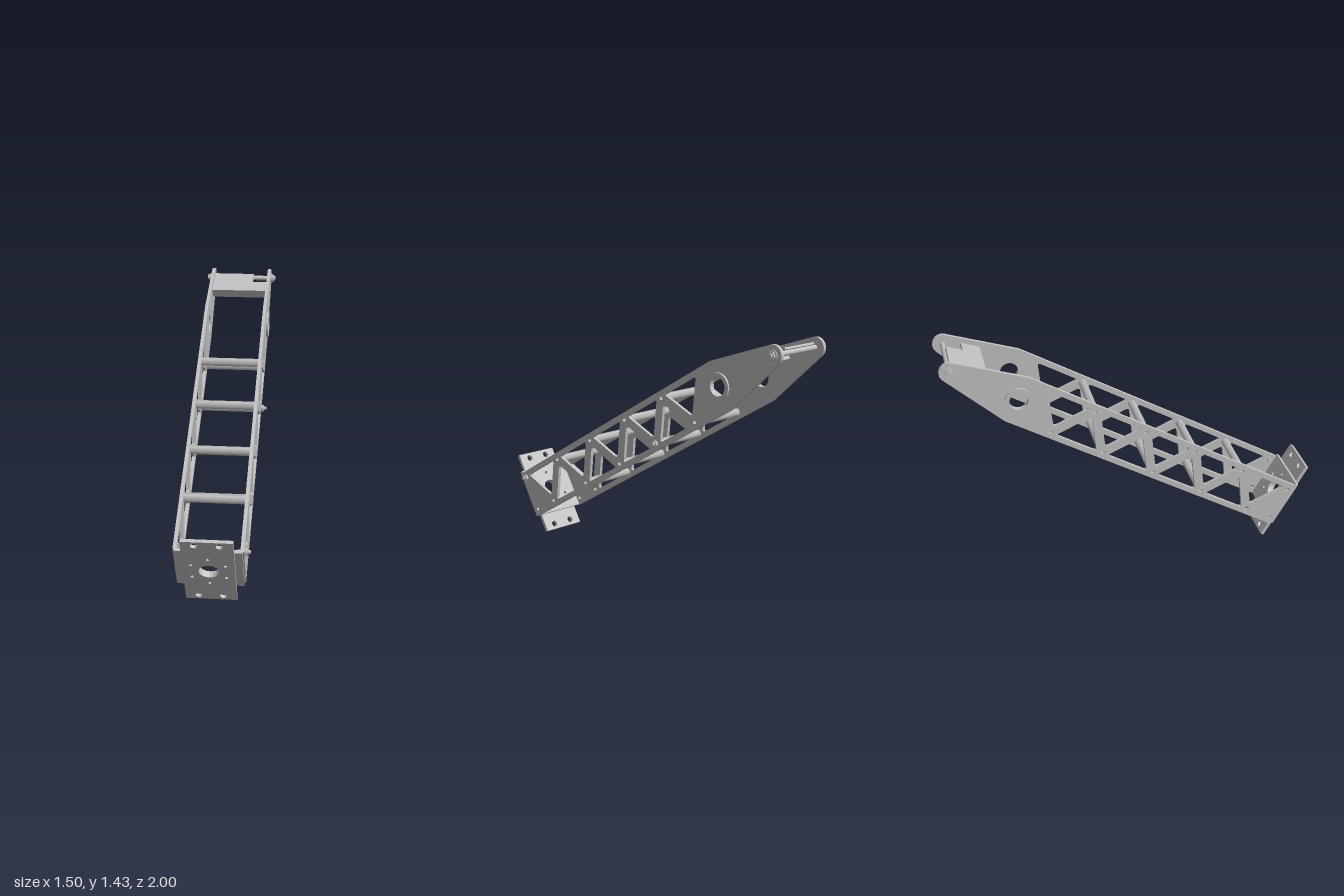
import * as THREE from 'three';

// Working frame: X runs along the boom, Y across its depth, Z across its width.
const TILT = Math.PI / 6, MID = 0.673, HALF = 0.147, INNER = 0.17, PLATE = 0.02;
const TIP = 1.58, PITCH = 0.344, UPPER = 0.78, LOWER = 0.566;
const upperNodes = [0, 1, 2, 3, 4].map((i) => 0.72 - i * PITCH);
const lowerNodes = upperNodes.map((p) => p + PITCH / 2);

function circle(x, y, r) {
  const path = new THREE.Path();
  path.absarc(x, y, r, 0, Math.PI * 2, true);
  return path;
}

// Closed path with rounded corners
function rounded(points, r, path = new THREE.Path()) {
  const v = points.map(([x, y]) => new THREE.Vector2(x, y));
  v.forEach((c, i) => {
    const prev = v[(i + v.length - 1) % v.length], next = v[(i + 1) % v.length];
    const a = c.clone().add(prev.clone().sub(c).setLength(r));
    const b = c.clone().add(next.clone().sub(c).setLength(r));
    if (i === 0) path.moveTo(a.x, a.y); else path.lineTo(a.x, a.y);
    path.quadraticCurveTo(c.x, c.y, b.x, b.y);
  });
  path.closePath();
  return path;
}

function extrude(shape, depth) {
  return new THREE.ExtrudeGeometry(shape, { depth, bevelEnabled: false, curveSegments: 10 });
}

// Side plate with tapered round tip and triangular lightening holes
function sidePlateGeometry() {
  const s = new THREE.Shape();
  const end = -0.685, corner = 1.165, arc = 1.363;
  s.moveTo(end, MID - HALF);
  s.lineTo(corner, MID - HALF);
  s.absarc(TIP, MID, 0.058, -arc, arc, false);
  s.lineTo(corner, MID + HALF);
  s.lineTo(end, MID + HALF);
  s.closePath();
  s.holes.push(circle(1.155, MID, 0.053));
  // Triangles with their base along the upper chord
  lowerNodes.forEach((p) => s.holes.push(
    rounded([[p - 0.137, 0.788], [p + 0.137, 0.788], [p, 0.6]], 0.026)));
  // Triangles with their base along the lower chord
  upperNodes.slice(0, 4).forEach((p) => s.holes.push(
    rounded([[p - 0.137, 0.558], [p, 0.746], [p + 0.137, 0.558]], 0.026)));
  // Bolt holes at the nodes
  upperNodes.forEach((p) => s.holes.push(circle(p, UPPER, 0.011)));
  [...lowerNodes, -0.66].forEach((p) => s.holes.push(circle(p, LOWER, 0.011)));
  return extrude(s, PLATE);
}

export function createModel() {
  const model = new THREE.Group();
  model.name = 'trussBoom';
  const metal = new THREE.MeshStandardMaterial({ color: 0xbfbfbf });
  metal.name = 'greyMetal';
  const boom = new THREE.Group();
  boom.name = 'boom';
  model.add(boom);

  const add = (name, geometry, x = 0, y = 0, z = 0) => {
    const mesh = new THREE.Mesh(geometry, metal);
    mesh.name = name;
    mesh.position.set(x, y, z);
    boom.add(mesh);
    return mesh;
  };
  // Rod across the width, from z0 to z1
  const rod = (name, r, x, y, z0, z1, sides = 16) => add(name,
    new THREE.CylinderGeometry(r, r, z1 - z0, sides).rotateX(Math.PI / 2)
      .translate(0, 0, (z0 + z1) / 2), x, y).geometry;

  // Side plates, bearing rings and tip fasteners
  const plate = sidePlateGeometry();
  const ring = new THREE.Shape();
  ring.absarc(0, 0, 0.077, 0, Math.PI * 2, false);
  ring.holes.push(circle(0, 0, 0.053));
  const ringGeometry = extrude(ring, 0.012);
  const outer = INNER + PLATE;
  for (const side of [-1, 1]) {
    add('sidePlate', plate, 0, 0, side > 0 ? INNER : -outer);
    add('bearingRing', ringGeometry, 1.155, MID, side > 0 ? outer : -outer - 0.012);
    const span = (a, b) => (side > 0 ? [a, b] : [-b, -a]);
    rod('tipWasher', 0.032, TIP, MID, ...span(outer, outer + 0.006), 20);
    rod('tipNut', 0.025, TIP, MID, ...span(outer + 0.006, outer + 0.02), 6);
  }
  rod('tipPin', 0.015, TIP, MID, -0.22, 0.22);

  // Hexagonal cross bars joining the plates
  upperNodes.slice(0, 4).forEach((p) => rod('upperCrossBar', 0.025, p, UPPER, -INNER, INNER, 6));
  lowerNodes.slice(0, 4).forEach((p) => rod('lowerCrossBar', 0.025, p, LOWER, -INNER, INNER, 6));

  // Two protruding bolts on the left plate
  for (const [p, q] of [[lowerNodes[1], LOWER], [upperNodes[4], UPPER]]) {
    rod('boltHead', 0.02, p, q, outer, outer + 0.018, 6);
    rod('boltShank', 0.011, p, q, INNER - 0.02, outer + 0.032);
  }

  // Folded tip cover, shortened on one side to clear the pin
  const cover = (name, tip, z0, z1) => {
    const top = (p) => 0.745 - (p - 1.383) * 0.21;
    const s = new THREE.Shape();
    s.moveTo(1.383, 0.686);
    s.lineTo(1.395, 0.686);
    s.lineTo(1.395, top(1.395) - 0.012);
    s.lineTo(tip, top(tip) - 0.012);
    s.lineTo(tip, top(tip));
    s.lineTo(1.383, top(1.383));
    s.closePath();
    add(name, extrude(s, z1 - z0), 0, 0, z0);
  };
  cover('tipCover', 1.585, -INNER, 0.08);
  cover('tipCoverShortSide', 1.49, 0.08, INNER);

  // Base: a wide flange behind a tall drilled mounting plate
  const drilledPlate = (name, halfW, halfH, depth, x, corners) => {
    const s = new THREE.Shape();
    rounded([[-halfW, -halfH], [halfW, -halfH], [halfW, halfH], [-halfW, halfH]], 0.004, s);
    s.holes.push(circle(0, 0, 0.055));
    for (let i = 0; i < 6; i++) {
      const a = Math.PI / 6 + i * Math.PI / 3;
      s.holes.push(circle(0.107 * Math.cos(a), 0.107 * Math.sin(a), 0.009));
    }
    if (corners) {
      for (const w of [-0.067, 0.067]) for (const h of [-0.229, 0.229]) s.holes.push(circle(w, h, 0.019));
    }
    add(name, extrude(s, depth).rotateY(-Math.PI / 2), x, MID + 0.008);
  };
  drilledPlate('baseFlange', 0.183, 0.152, 0.02, -0.685, false);
  drilledPlate('mountingPlate', 0.141, 0.263, 0.02, -0.705, true);

  // Turn the boom to its raised, angled pose
  const away = new THREE.Vector3(-0.558, 0, -0.83).normalize();
  const up = new THREE.Vector3(0, 1, 0);
  const along = away.clone().multiplyScalar(Math.cos(TILT)).addScaledVector(up, Math.sin(TILT));
  const across = up.clone().multiplyScalar(Math.cos(TILT)).addScaledVector(away, -Math.sin(TILT));
  const width = along.clone().cross(across);
  boom.quaternion.setFromRotationMatrix(new THREE.Matrix4().makeBasis(along, across, width));

  // Stand on the ground and centre
  model.updateMatrixWorld(true);
  const box = new THREE.Box3().setFromObject(model, true);
  const c = box.getCenter(new THREE.Vector3());
  boom.position.set(-c.x, -box.min.y, -c.z);
  return model;
}
